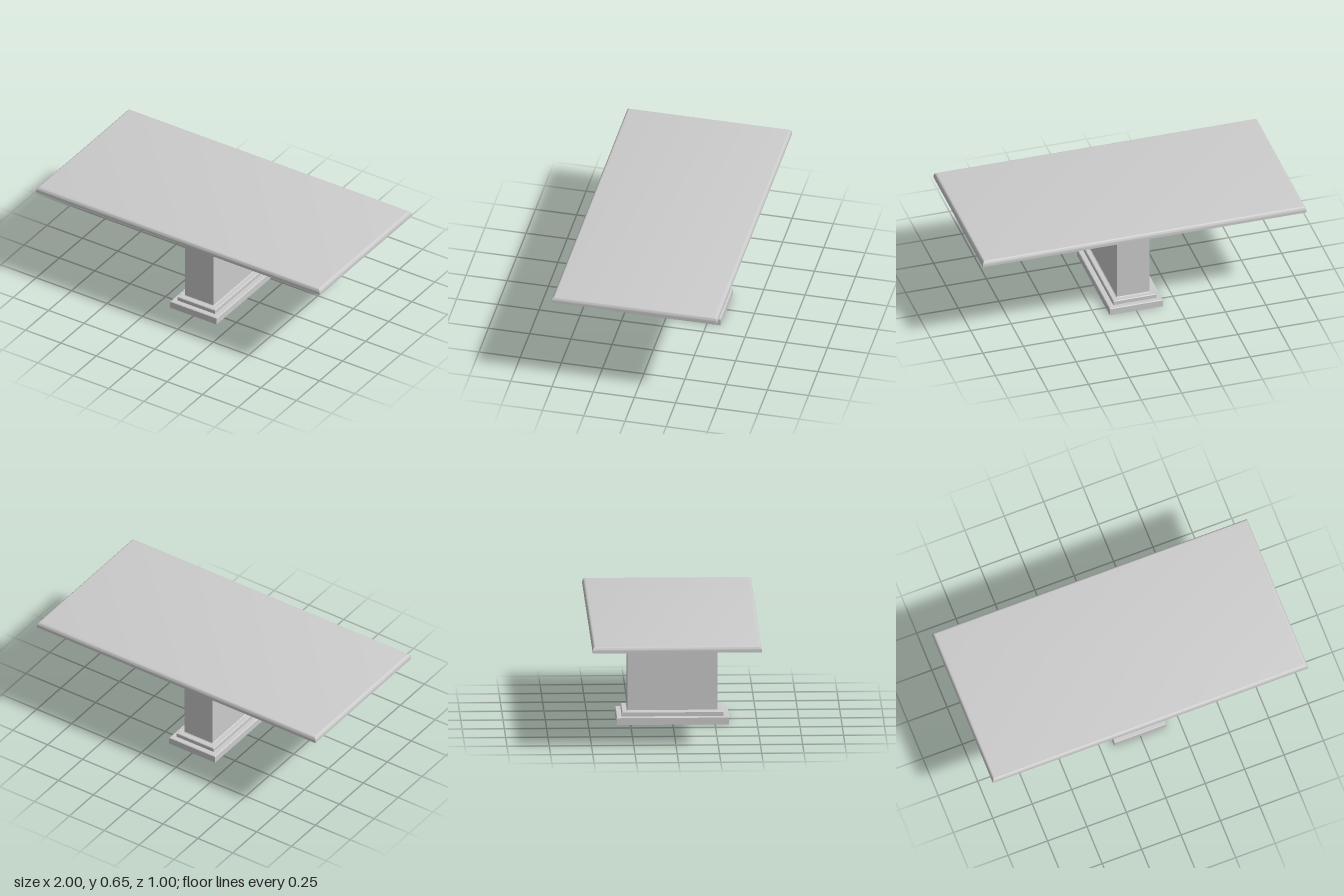
import * as THREE from 'three';
import { toCreasedNormals } from 'three/addons/utils/BufferGeometryUtils.js';

// Corner signs (x, z), counter-clockwise seen from above
const CORNERS = [[1, 1], [1, -1], [-1, -1], [-1, 1]];

// Skin a stack of rectangles [halfX, halfZ, y], listed from bottom to top
function rectLoft(rings, capped) {
  const pos = [];
  const corner = ([hx, hz, y], i) => {
    const [sx, sz] = CORNERS[i % 4];
    return [sx * hx, y, sz * hz];
  };
  const quad = (a, b, c, d) => pos.push(...a, ...b, ...c, ...a, ...c, ...d);
  for (let r = 0; r < rings.length - 1; r++) {
    for (let i = 0; i < 4; i++) {
      quad(corner(rings[r], i), corner(rings[r], i + 1), corner(rings[r + 1], i + 1), corner(rings[r + 1], i));
    }
  }
  if (capped) {
    const top = rings[rings.length - 1], bottom = rings[0];
    quad(...[0, 1, 2, 3].map(i => corner(top, i)));
    quad(...[3, 2, 1, 0].map(i => corner(bottom, i)));
  }
  const g = new THREE.BufferGeometry();
  g.setAttribute('position', new THREE.Float32BufferAttribute(pos, 3));
  return toCreasedNormals(g, 0.6);
}

export function createModel() {
  const group = new THREE.Group();
  const material = new THREE.MeshStandardMaterial({ color: 0xcccccc, side: THREE.DoubleSide });
  const add = (name, geometry) => {
    const mesh = new THREE.Mesh(geometry, material);
    mesh.name = name;
    group.add(mesh);
  };

  // Tabletop with a rounded upper edge
  const topRings = [[1, 0.5, 0.61]];
  for (let i = 0; i <= 5; i++) {
    const a = (i / 5) * Math.PI / 2;
    const inset = 0.02 * (1 - Math.cos(a));
    topRings.push([1 - inset, 0.5 - inset, 0.626 + 0.022 * Math.sin(a)]);
  }
  add('tabletop', rectLoft(topRings, true));

  // Hollow plinth, open underneath, with two softened steps
  const e = 0.004;
  add('plinth', rectLoft([
    [0.165, 0.333, 0],
    [0.165, 0.333, 0.045 - e],
    [0.165 - e, 0.333 - e, 0.045],
    [0.133, 0.301, 0.045],
    [0.133, 0.301, 0.072 - e],
    [0.133 - e, 0.301 - e, 0.072],
    [0.1 + e, 0.267 + e, 0.072],
    [0.1, 0.267, 0.072 + e],
  ], false));

  // Hollow pedestal column
  add('column', rectLoft([[0.1, 0.267, 0.072 + e], [0.1, 0.267, 0.61]], false));

  return group;
}
